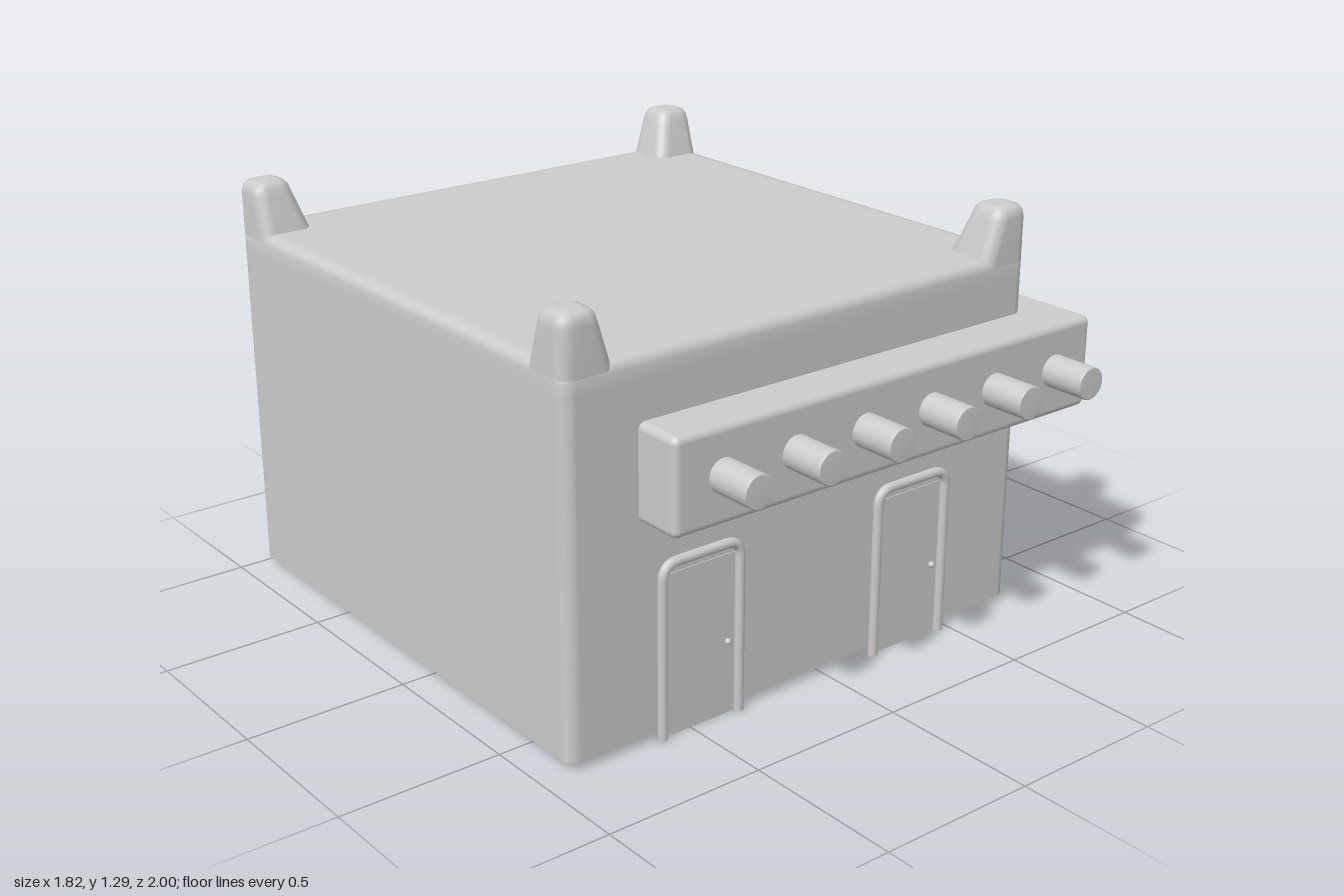
import * as THREE from 'three';
import { RoundedBoxGeometry } from 'three/addons/geometries/RoundedBoxGeometry.js';

const material = new THREE.MeshStandardMaterial({ color: 0xcccccc, side: THREE.DoubleSide });

// Outer walls of the building
const X0 = -0.91, X1 = 0.775, Z0 = -1, Z1 = 0.705, ROOF = 1.14;

// Loft through rounded rectangles [x0, x1, z0, z1, y, radius], closed at the top
function loft(rings, steps = 6) {
  const pos = [], index = [], n = 4 * (steps + 1);
  for (const [x0, x1, z0, z1, y, r] of rings) {
    const corners = [[x1 - r, z1 - r], [x0 + r, z1 - r], [x0 + r, z0 + r], [x1 - r, z0 + r]];
    corners.forEach(([cx, cz], q) => {
      for (let s = 0; s <= steps; s++) {
        const a = (q + s / steps) * Math.PI / 2;
        pos.push(cx + r * Math.cos(a), y, cz + r * Math.sin(a));
      }
    });
  }
  const [x0, x1, z0, z1, y] = rings[rings.length - 1];
  pos.push((x0 + x1) / 2, y, (z0 + z1) / 2);
  const top = (rings.length - 1) * n;
  for (let j = 0; j < n; j++) {
    const k = (j + 1) % n;
    for (let i = 0; i < top; i += n) {
      index.push(i + j, i + n + j, i + k, i + k, i + n + j, i + n + k);
    }
    index.push(top + n, top + k, top + j);
  }
  const geo = new THREE.BufferGeometry();
  geo.setAttribute('position', new THREE.Float32BufferAttribute(pos, 3));
  geo.setIndex(index);
  geo.computeVertexNormals();
  return geo;
}

function add(parent, name, geometry, x = 0, y = 0, z = 0) {
  const mesh = new THREE.Mesh(geometry, material);
  mesh.name = name;
  mesh.position.set(x, y, z);
  parent.add(mesh);
  return mesh;
}

// Tapered corner post: upright outside, sloping inside
function postGeometry(sx, sz) {
  const x = sx > 0 ? X1 : X0, z = sz > 0 ? Z1 : Z0;
  const ring = (y, size, inset, r) => {
    const xs = [x - sx * inset, x - sx * size].sort((a, b) => a - b);
    const zs = [z - sz * inset, z - sz * size].sort((a, b) => a - b);
    return [...xs, ...zs, y, r];
  };
  return loft([
    ring(1.115, 0.172, 0, 0.04), ring(ROOF, 0.165, 0, 0.04), ring(1.25, 0.131, 0, 0.04),
    ring(1.272, 0.124, 0.004, 0.038), ring(1.285, 0.114, 0.014, 0.032),
    ring(1.29, 0.1, 0.03, 0.022), ring(1.29, 0.09, 0.04, 0.015),
  ]);
}

// Arched door surround with panel and knob
function makeDoor(x) {
  const door = new THREE.Group();
  door.name = 'door';
  door.position.set(x, 0, 0);
  const w = 0.136, h = 0.53, r = 0.05, z = 0.713;
  const v = (a, b) => new THREE.Vector3(a, b, z);
  const path = new THREE.CurvePath();
  path.add(new THREE.LineCurve3(v(-w, 0), v(-w, h - r)));
  path.add(new THREE.QuadraticBezierCurve3(v(-w, h - r), v(-w, h), v(-w + r, h)));
  path.add(new THREE.LineCurve3(v(-w + r, h), v(w - r, h)));
  path.add(new THREE.QuadraticBezierCurve3(v(w - r, h), v(w, h), v(w, h - r)));
  path.add(new THREE.LineCurve3(v(w, h - r), v(w, 0)));
  add(door, 'doorFrame', new THREE.TubeGeometry(path, 120, 0.015, 10));
  for (const s of [-1, 1]) {
    const cap = add(door, 'frameFoot', new THREE.CircleGeometry(0.015, 10), s * w, 0, z);
    cap.rotation.x = Math.PI / 2;
  }
  add(door, 'doorPanel', new THREE.BoxGeometry(2 * w, h - 0.035, 0.008), 0, (h - 0.035) / 2, 0.704);
  add(door, 'doorKnob', new THREE.SphereGeometry(0.01, 12, 8), 0.085, 0.235, 0.725);
  return door;
}

export function createModel() {
  const model = new THREE.Group();
  model.name = 'building';

  // Hollow walls, open underneath, with a softly rounded roof edge
  const wall = (y, inset, r) => [X0 + inset, X1 - inset, Z0 + inset, Z1 - inset, y, r];
  add(model, 'walls', loft([
    wall(0.025, 0, 0.04), wall(1.07, 0, 0.04), wall(1.11, 0, 0.04), wall(1.125, 0.006, 0.038),
    wall(1.136, 0.016, 0.03), wall(ROOF, 0.035, 0.02), wall(ROOF, 0.06, 0.015),
  ]));

  // Roof corner posts
  for (const sx of [-1, 1]) for (const sz of [-1, 1]) add(model, 'cornerPost', postGeometry(sx, sz));

  // Canopy block wrapping the front left corner
  add(model, 'canopy', new RoundedBoxGeometry(1.58, 0.285, 0.69, 4, 0.022), 0.117, 0.8125, 0.51);

  // Row of round beams
  for (let i = 0; i < 6; i++) {
    const profile = [[0.05, 0], [0.05, 0.154], [0.049, 0.158], [0.046, 0.16], [0, 0.16]]
      .map(([r, y]) => new THREE.Vector2(r, y));
    const beam = add(model, 'beam', new THREE.LatheGeometry(profile, 28), -0.51 + i * 0.253, 0.815, 0.84);
    beam.rotation.x = Math.PI / 2;
  }

  // Two front doors
  for (const x of [-0.465, 0.33]) model.add(makeDoor(x));

  return model;
}
